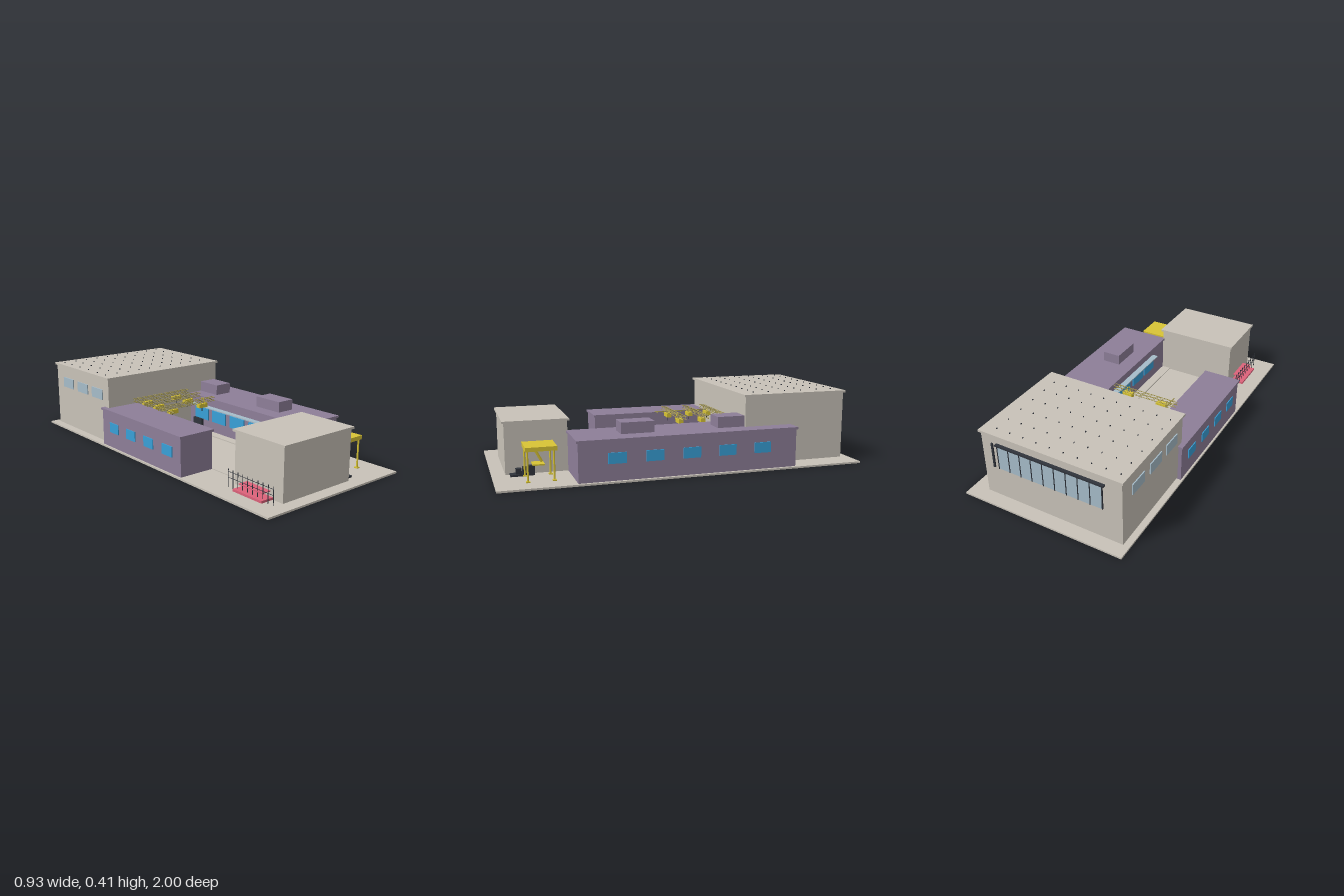
import * as THREE from 'three';

const mat = (color, extra = {}) => new THREE.MeshStandardMaterial({ color, ...extra });
const M = {
  stone: mat(0xc8c2b8), purple: mat(0x8d7e98), blueGlass: mat(0x38a0d8), paleGlass: mat(0xa6bcc9),
  yellow: mat(0xd8c435), red: mat(0xdc627a), dark: mat(0x30343c), blue: mat(0x1878b8), steel: mat(0xa89c58),
};

// Box given by its extents on each axis
function block(parent, name, material, [x0, x1], [y0, y1], [z0, z1]) {
  const mesh = new THREE.Mesh(new THREE.BoxGeometry(x1 - x0, y1 - y0, z1 - z0), material);
  mesh.position.set((x0 + x1) / 2, (y0 + y1) / 2, (z0 + z1) / 2);
  mesh.name = name;
  parent.add(mesh);
  return mesh;
}

// Round bar between two points
function bar(parent, name, material, a, b, r, sides = 8) {
  const p = new THREE.Vector3(...a), q = new THREE.Vector3(...b);
  const mesh = new THREE.Mesh(new THREE.CylinderGeometry(r, r, p.distanceTo(q), sides), material);
  mesh.position.copy(p).lerp(q, 0.5);
  mesh.quaternion.setFromUnitVectors(new THREE.Vector3(0, 1, 0), q.sub(p).normalize());
  mesh.name = name;
  parent.add(mesh);
  return mesh;
}

function group(parent, name) {
  const g = new THREE.Group();
  g.name = name;
  parent.add(g);
  return g;
}

// Walls with an overhanging roof slab
function building(parent, name, material, x, y, z, o = 0.01) {
  const g = group(parent, name);
  block(g, 'walls', material, x, y, z);
  block(g, 'roofSlab', material, [x[0] - o, x[1] + o], [y[1], y[1] + 0.012], [z[0] - o, z[1] + o]);
  return g;
}

// Windows in a side wall facing along x
function sideWindows(parent, material, x, y, centres, width) {
  for (const c of centres)
    block(parent, 'window', material, [x - 0.005, x + 0.005], y, [c - width / 2, c + width / 2]);
}

function addHall(root) {
  const hall = building(root, 'mainHall', M.stone, [-0.435, 0.365], [0.02, 0.392], [-0.932, -0.335]);
  sideWindows(hall, M.paleGlass, -0.436, [0.265, 0.325], [-0.79, -0.62, -0.455], 0.115);
  // Long rear window with mullions, head rail and end post
  block(hall, 'rearWindow', M.paleGlass, [-0.33, 0.27], [0.2, 0.345], [-0.937, -0.93]);
  for (let i = 0; i <= 9; i++) {
    const x = -0.33 + i * 0.6 / 9;
    block(hall, 'mullion', M.dark, [x - 0.002, x + 0.002], [0.2, 0.345], [-0.94, -0.93]);
  }
  block(hall, 'headRail', M.dark, [-0.345, 0.275], [0.343, 0.352], [-0.949, -0.93]);
  block(hall, 'endPost', M.dark, [0.295, 0.305], [0.2, 0.345], [-0.94, -0.93]);
  // Small fixings over the roof
  for (const z of [-0.41, -0.5, -0.6, -0.7, -0.8, -0.89])
    for (let i = 0; i < 10; i++) {
      const x = -0.405 + i * 0.078;
      block(hall, 'roofFixing', M.dark, [x - 0.002, x + 0.002], [0.402, 0.409], [z - 0.003, z + 0.003]);
    }
}

function addWings(root) {
  const right = building(root, 'leftWing', M.purple, [0.165, 0.45], [0.01, 0.216], [-0.6, 0.6], 0.008);
  sideWindows(right, M.blueGlass, 0.45, [0.1, 0.157], [-0.4, -0.2, 0, 0.2, 0.4], 0.095);
  for (const z of [-0.27, 0.265])
    block(right, 'rooftopUnit', M.purple, [0.245, 0.352], [0.228, 0.288], [z - 0.09, z + 0.09]);
  // Yard side: glazing below a slim canopy
  sideWindows(right, M.blueGlass, 0.163, [0.085, 0.155], [-0.22, -0.06, 0.1, 0.26, 0.4], 0.12);
  block(right, 'canopy', M.paleGlass, [0.13, 0.166], [0.17, 0.176], [-0.33, 0.46]);

  const left = building(root, 'rightWing', M.purple, [-0.455, -0.25], [0.01, 0.216], [-0.37, 0.362], 0.008);
  sideWindows(left, M.blueGlass, -0.455, [0.1, 0.157], [-0.25, -0.083, 0.083, 0.25], 0.085);
}

function addTruss(root, z) {
  const g = group(root, 'craneTruss');
  const x0 = -0.27, x1 = 0.125, n = 10, step = (x1 - x0) / n;
  for (const dz of [-0.012, 0.012])
    for (const y of [0.238, 0.257]) bar(g, 'chord', M.steel, [x0, y, z + dz], [x1, y, z + dz], 0.002, 6);
  for (let i = 0; i <= n; i++) {
    const x = x0 + i * step;
    bar(g, 'crossTie', M.steel, [x, 0.257, z - 0.012], [x, 0.257, z + 0.012], 0.0015, 6);
    if (i < n)
      for (const dz of [-0.012, 0.012]) {
        const up = i % 2;
        bar(g, 'brace', M.steel, [x, up ? 0.257 : 0.238, z + dz], [x + step, up ? 0.238 : 0.257, z + dz], 0.0015, 6);
      }
  }
  for (const x of [-0.178, 0.038]) {
    block(g, 'hoist', M.yellow, [x - 0.03, x + 0.03], [0.208, 0.232], [z - 0.014, z + 0.014]);
    bar(g, 'hoistHook', M.dark, [x, 0.208, z], [x, 0.185, z], 0.002, 6);
  }
}

function addYard(root) {
  const yard = group(root, 'yard');
  block(yard, 'yardFloor', M.stone, [-0.25, 0.112], [0.009, 0.014], [-0.335, 0.6]);
  block(yard, 'walkway', M.stone, [0.112, 0.165], [0.009, 0.02], [-0.335, 0.6]);
  for (const z of [-0.07, -0.205, -0.32]) addTruss(yard, z);
  // Crane rail with hangers, and the yellow lifting peak
  bar(yard, 'craneRail', M.steel, [-0.22, 0.234, -0.33], [-0.22, 0.234, 0], 0.003, 6);
  for (let i = 0; i < 9; i++)
    bar(yard, 'railHanger', M.steel, [-0.23, 0.228, -0.32 + i * 0.038], [-0.21, 0.228, -0.32 + i * 0.038], 0.003, 6);
  for (const s of [-1, 1]) bar(yard, 'peakStrut', M.yellow, [0.038, 0.23, -0.065 + s * 0.022], [0.038, 0.268, -0.065 + s * 0.006], 0.002, 6);
  block(yard, 'controlCabinet', M.dark, [0.113, 0.127], [0.014, 0.1], [-0.245, -0.165]);
  // Red machine
  const red = group(yard, 'redMachine');
  block(red, 'bed', M.red, [-0.205, -0.11], [0.014, 0.035], [-0.232, -0.178]);
  block(red, 'headstock', M.red, [-0.205, -0.165], [0.035, 0.055], [-0.228, -0.182]);
  block(red, 'tailstock', M.red, [-0.135, -0.113], [0.035, 0.05], [-0.222, -0.188]);
  bar(red, 'spindle', M.dark, [-0.165, 0.043, -0.205], [-0.135, 0.043, -0.205], 0.005);
  // Blue machine
  const blue = group(yard, 'blueMachine');
  block(blue, 'base', M.blue, [-0.105, -0.035], [0.014, 0.04], [-0.335, -0.28]);
  block(blue, 'column', M.blue, [-0.095, -0.045], [0.04, 0.085], [-0.335, -0.3]);
  block(blue, 'table', M.blue, [-0.1, -0.04], [0.03, 0.045], [-0.285, -0.255]);
}

function addShelter(root) {
  const g = group(root, 'yellowShelter');
  block(g, 'shelterRoof', M.yellow, [0.201, 0.361], [0.168, 0.19], [0.686, 0.846]);
  for (const x of [0.216, 0.349])
    for (const z of [0.702, 0.835]) {
      bar(g, 'leg', M.yellow, [x, 0.01, z], [x, 0.17, z], 0.005, 12);
      block(g, 'foot', M.yellow, [x - 0.01, x + 0.01], [0.01, 0.016], [z - 0.01, z + 0.01]);
    }
  // Slanted lifting arm carrying a small tray
  bar(g, 'liftArm', M.yellow, [0.282, 0.165, 0.79], [0.282, 0.098, 0.755], 0.007, 12);
  block(g, 'armHead', M.yellow, [0.27, 0.294], [0.155, 0.168], [0.755, 0.8]);
  block(g, 'tray', M.yellow, [0.246, 0.32], [0.086, 0.093], [0.745, 0.805]);
  // Dark equipment beside the shelter
  const e = group(root, 'darkEquipment');
  block(e, 'skid', M.dark, [0.166, 0.217], [0.01, 0.02], [0.825, 0.908]);
  for (let i = 0; i < 3; i++)
    block(e, 'cabinet', M.dark, [0.184, 0.211], [0.01, 0.062 - i * 0.006], [0.782 + i * 0.034, 0.812 + i * 0.034]);
}

function addDock(root) {
  const g = group(root, 'loadingDock');
  block(g, 'platform', M.red, [-0.376, -0.302], [0.01, 0.022], [0.665, 0.865]);
  block(g, 'bench', M.red, [-0.356, -0.302], [0.046, 0.051], [0.687, 0.848]);
  // Fence posts and rails
  for (let i = 0; i < 10; i++) {
    const z = 0.607 + i * 0.0345;
    bar(g, 'fencePost', M.dark, [-0.352, 0.01, z], [-0.352, 0.103, z], 0.002, 6);
  }
  for (const y of [0.06, 0.09]) bar(g, 'fenceRail', M.dark, [-0.352, y, 0.607], [-0.352, y, 0.918], 0.0015, 6);
}

export function createModel() {
  const root = new THREE.Group();
  root.name = 'factory';
  block(root, 'groundSlab', M.stone, [-0.465, 0.465], [0, 0.01], [-1, 1]);
  addHall(root);
  addWings(root);
  building(root, 'frontBlock', M.stone, [-0.302, 0.165], [0.01, 0.282], [0.6, 0.93]);
  addYard(root);
  addShelter(root);
  addDock(root);
  return root;
}
